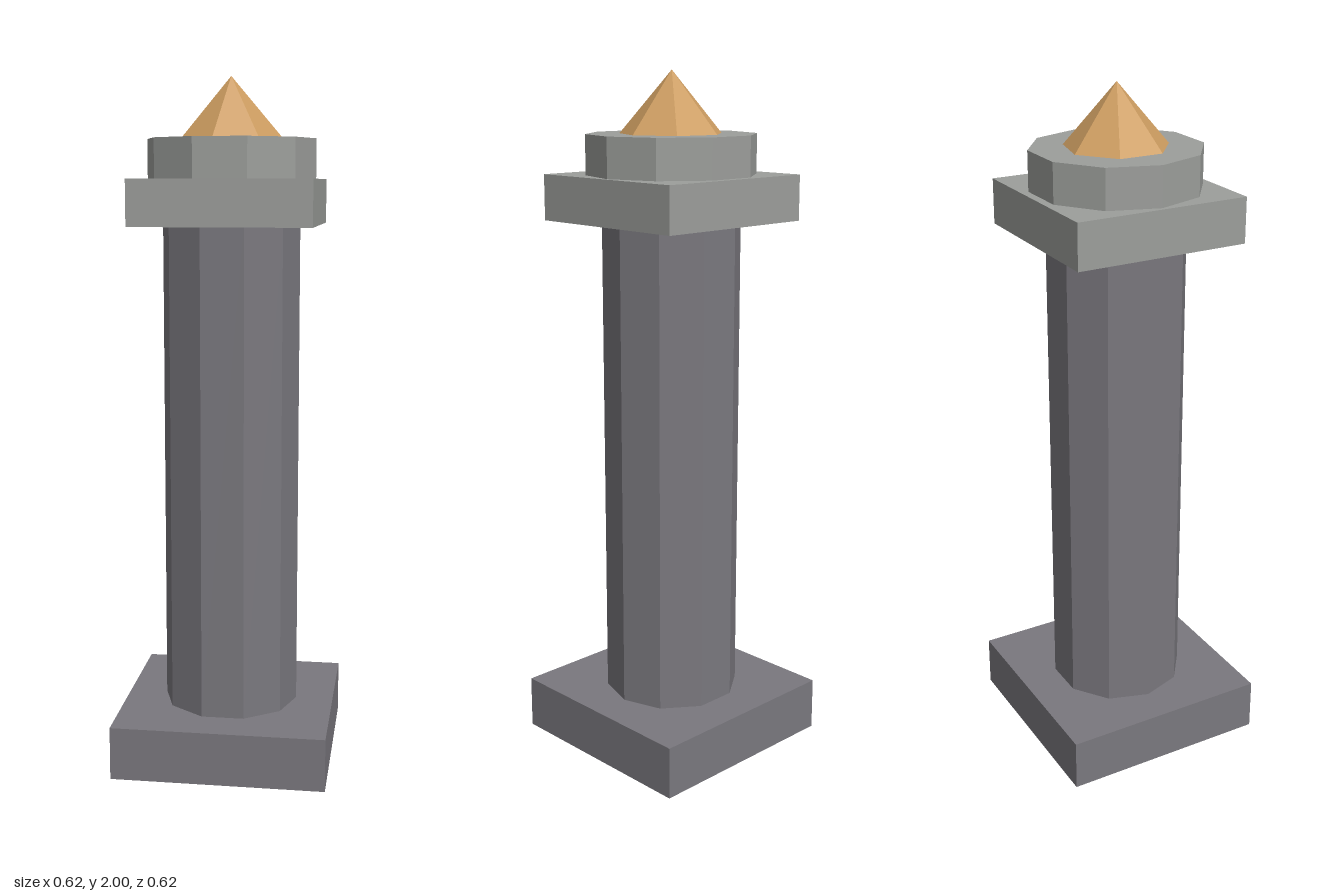
import * as THREE from 'three';

export function createModel() {
  const model = new THREE.Group();
  model.name = 'column';

  const material = (name, color) => {
    const m = new THREE.MeshStandardMaterial({ color, flatShading: true });
    m.name = name;
    return m;
  };
  const darkStone = material('dark stone', 0x7a787e);
  const lightStone = material('light stone', 0x9c9e9b);
  const amber = material('amber', 0xcc9c60);

  // Places a part between two heights
  const add = (name, geometry, mat, bottom, top) => {
    const mesh = new THREE.Mesh(geometry, mat);
    mesh.name = name;
    mesh.position.y = (bottom + top) / 2;
    model.add(mesh);
  };
  const slab = (name, width, mat, bottom, top) =>
    add(name, new THREE.BoxGeometry(width, top - bottom, width), mat, bottom, top);

  // Ten-sided prism or seven-sided cone with a corner on +x
  const prism = (name, topRadius, radius, sides, mat, bottom, top) => {
    const geometry = new THREE.CylinderGeometry(topRadius, radius, top - bottom, sides);
    geometry.rotateY(Math.PI / 2);
    add(name, geometry, mat, bottom, top);
  };

  slab('base', 0.622, darkStone, 0, 0.156);
  prism('shaft', 0.2, 0.2, 10, darkStone, 0.156, 1.583);
  slab('capital', 0.512, lightStone, 1.583, 1.713);
  prism('collar', 0.244, 0.244, 10, lightStone, 1.713, 1.826);
  prism('finial', 0, 0.149, 7, amber, 1.826, 2);

  return model;
}
